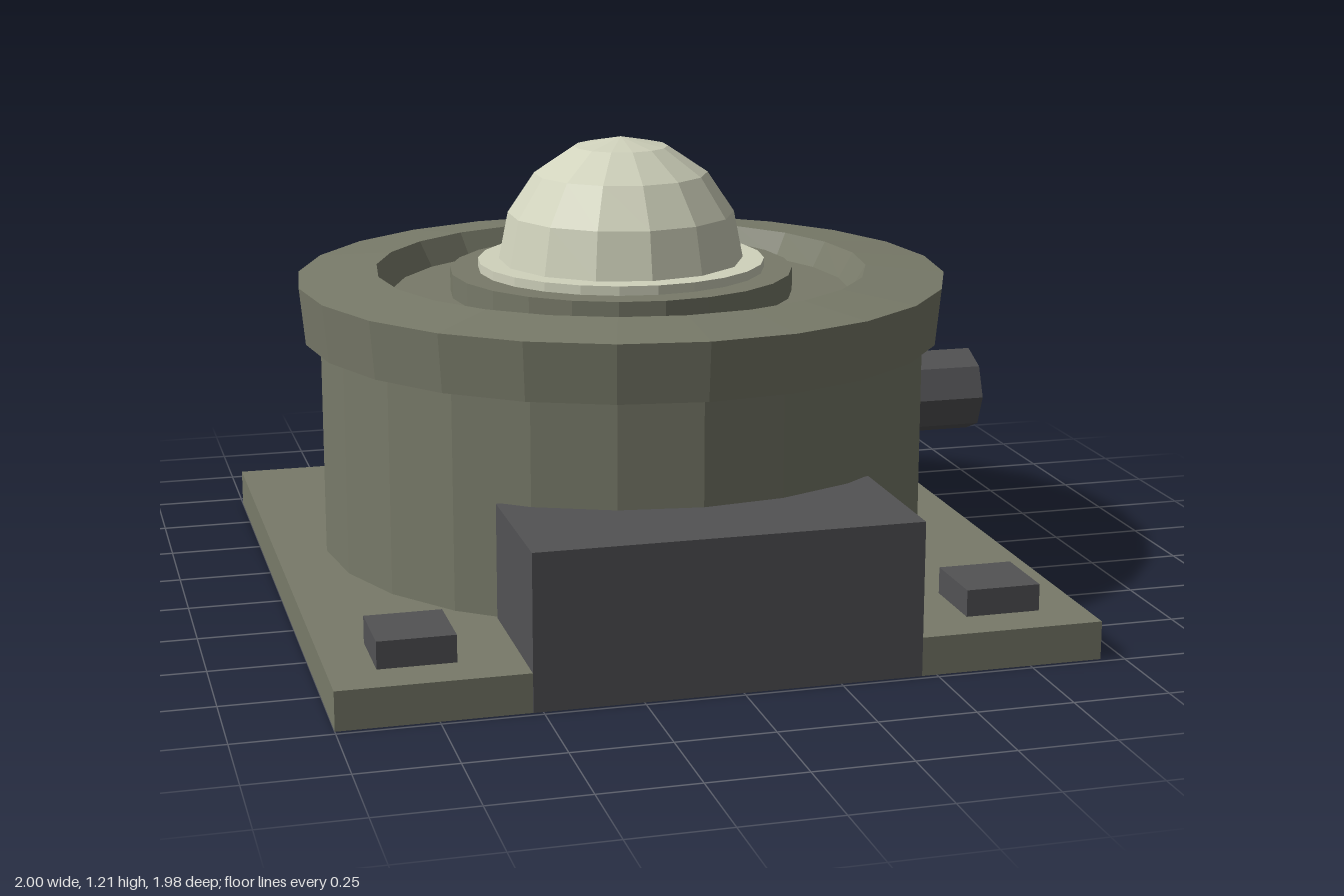
import * as THREE from 'three';

export function createModel() {
  const group = new THREE.Group();
  const mat = (name, color) => new THREE.MeshStandardMaterial({ name, color, flatShading: true });
  const olive = mat('olive', 0x787a69);
  const dark = mat('darkGrey', 0x525254);
  const cream = mat('cream', 0xd0d2bc);
  const CX = -0.03, CZ = -0.1; // turret axis

  const add = (name, geometry, material, x, y, z) => {
    const mesh = new THREE.Mesh(geometry, material);
    mesh.name = name;
    mesh.position.set(x, y, z);
    group.add(mesh);
    return mesh;
  };
  // box given by its lower and upper corners
  const box = (name, material, [x0, y0, z0], [x1, y1, z1]) =>
    add(name, new THREE.BoxGeometry(x1 - x0, y1 - y0, z1 - z0), material,
      (x0 + x1) / 2, (y0 + y1) / 2, (z0 + z1) / 2);
  // turned part, profile runs from the bottom outside to the top centre
  const turned = (name, material, profile, segments) =>
    add(name, new THREE.LatheGeometry(profile.map(p => new THREE.Vector2(...p)), segments), material, CX, 0, CZ);

  // base plate with a dark underside
  box('basePlate', [olive, olive, olive, dark, olive, olive], [-1, 0, -0.95], [0.94, 0.1, 0.985]);

  // drum with flared rim, recessed top and raised inner ring
  turned('drum', olive, [
    [0.832, 0.1], [0.832, 0.68], [0.872, 0.68], [0.887, 0.835],
    [0.672, 0.855], [0.632, 0.785], [0.47, 0.785], [0.47, 0.85], [0, 0.85],
  ], 24);

  // collar and faceted dome
  turned('domeCollar', cream, [[0.393, 0.845], [0.393, 0.875], [0, 0.875]], 24);
  const dome = [];
  for (let i = 0; i <= 4; i++) {
    const a = i * Math.PI / 8;
    dome.push([i === 4 ? 0 : 0.335 * Math.cos(a), 0.875 + 0.335 * Math.sin(a)]);
  }
  turned('dome', cream, dome, 14);

  // front block
  box('frontBlock', dark, [-0.525, 0.001, 0.57], [0.46, 0.4, 0.988]);

  // corner pads
  for (const side of [-1, 1]) {
    const x = CX + side * 0.752;
    box(side < 0 ? 'rightPad' : 'leftPad', dark, [x - 0.098, 0.09, 0.67], [x + 0.098, 0.17, 0.865]);
  }

  // side connector
  const connector = add('sideConnector', new THREE.CylinderGeometry(0.118, 0.118, 0.28, 8), dark, 0.86, 0.44, CZ);
  connector.rotation.z = -Math.PI / 2;

  return group;
}
